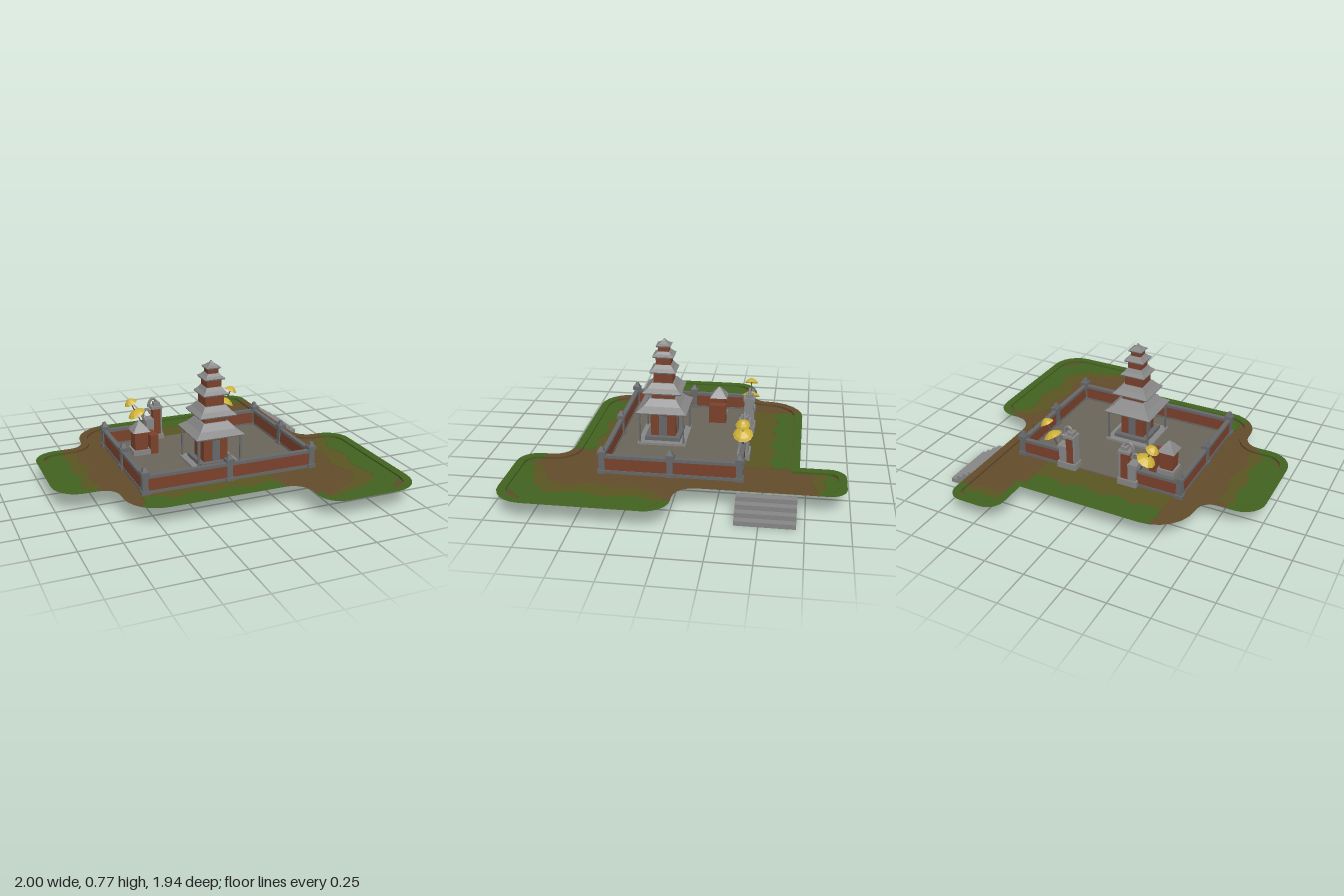
import * as THREE from 'three';

const mat = (name, color, side = THREE.FrontSide) => {
  const m = new THREE.MeshStandardMaterial({ color, side });
  m.name = name;
  return m;
};

export function createModel() {
  const root = new THREE.Group();
  root.name = 'templeIsland';
  const D = THREE.DoubleSide;
  const green = mat('grassGreen', 0x41621f, D);
  const olive = mat('dryGrassOlive', 0x595522, D);
  const brown = mat('earthBrown', 0x634b2b, D);
  const paving = mat('pavingGrey', 0x6a6559);
  const stone = mat('stoneGrey', 0x868686);
  const darkStone = mat('darkStone', 0x666769);
  const brick = mat('brickRed', 0x7a412b);
  const yellow = mat('parasolYellow', 0xcdb034, D);
  const wood = mat('poleWood', 0x5a5040);

  // ---- helpers ----
  const flat = (g) => {
    const f = g.index ? g.toNonIndexed() : g;
    f.computeVertexNormals();
    return f;
  };
  const add = (name, geo, m, x = 0, y = 0, z = 0, parent = root) => {
    const mesh = new THREE.Mesh(geo, m);
    mesh.name = name;
    mesh.position.set(x, y, z);
    parent.add(mesh);
    return mesh;
  };
  // box standing between y0 and y1
  const block = (name, m, x, z, w, d, y0, y1, parent = root) =>
    add(name, new THREE.BoxGeometry(w, y1 - y0, d), m, x, (y0 + y1) / 2, z, parent);
  // square frustum with half widths at its bottom and top
  const frustum = (name, m, x, z, a, b, y0, y1, parent = root) => {
    const g = new THREE.CylinderGeometry(b * Math.SQRT2, a * Math.SQRT2, y1 - y0, 4).rotateY(Math.PI / 4);
    return add(name, flat(g), m, x, (y0 + y1) / 2, z, parent);
  };

  // ---- island outline: right-angled corners [x, z, radius] ----
  const corners = [
    [0.36, -0.98, 0.1], [0.7, -0.98, 0.1], [0.7, -0.02, 0.12], [1, -0.02, 0.14], [1, 0.965, 0.18],
    [0.37, 0.965, 0.12], [0.37, 0.67, 0.11], [-0.66, 0.67, 0.2], [-0.66, 0.325, 0.1], [-1, 0.325, 0.16],
    [-1, -0.37, 0.14], [-0.66, -0.37, 0.09], [-0.66, -0.71, 0.24], [0.36, -0.71, 0],
  ].map(([x, z, r]) => ({ p: new THREE.Vector2(x, z), r }));
  const outline = [];
  corners.forEach((c, i) => {
    const prev = corners.at(i - 1), next = corners[(i + 1) % corners.length];
    const d1 = c.p.clone().sub(prev.p).normalize(), d2 = next.p.clone().sub(c.p).normalize();
    if (c.r === 0) outline.push(c.p.clone());
    else for (let k = 0; k <= 6; k++) {
      const t = (k / 6) * Math.PI / 2;
      outline.push(c.p.clone().addScaledVector(d1, c.r * (Math.sin(t) - 1))
        .addScaledVector(d2, c.r * (1 - Math.cos(t))));
    }
    const a = c.p.clone().addScaledVector(d2, c.r), b = next.p.clone().addScaledVector(d2, -next.r);
    const n = Math.ceil(a.distanceTo(b) / 0.06);
    for (let k = 1; k < n; k++) outline.push(a.clone().lerp(b, k / n));
  });
  const pts = outline.filter((p, i) => p.distanceTo(outline.at(i - 1)) > 1e-4);
  const inset = pts.map((p, i) => {
    const n1 = p.clone().sub(pts.at(i - 1)).normalize(), n2 = pts[(i + 1) % pts.length].clone().sub(p).normalize();
    const m = n1.clone().add(n2).normalize();
    const s = 0.05 / m.dot(n1);
    return new THREE.Vector2(p.x - m.y * s, p.y + m.x * s);
  });

  // raised rim and its inner riser, earth or grass by position
  const isEarth = (x, z) =>
    (x > 0.6 && x < 0.86 && z > -0.8 && z < 0.1) || (x < -0.46 && x > -0.78 && z < -0.25) ||
    (x < -0.56 && x > -0.78 && z > 0.2 && z < 0.62) || (x > 0.27 && x < 0.45 && z > 0.55 && z < 0.82);
  const TOP = 0.122, FLOOR = 0.108;
  const strip = (name, a, ya, b, yb) => {
    const g = new THREE.BufferGeometry(), v = [];
    a.forEach((p, i) => {
      const j = (i + 1) % a.length, q = a[j], r = b[i], s = b[j];
      g.addGroup(i * 6, 6, isEarth((p.x + q.x) / 2, (p.y + q.y) / 2) ? 1 : 0);
      v.push(p.x, ya, p.y, r.x, yb, r.y, q.x, ya, q.y, q.x, ya, q.y, r.x, yb, r.y, s.x, yb, s.y);
    });
    g.setAttribute('position', new THREE.Float32BufferAttribute(v, 3));
    g.computeVertexNormals();
    add(name, g, [green, brown]);
  };
  strip('islandRim', pts, TOP, inset, TOP);
  strip('rimRiser', inset, TOP, inset, FLOOR);

  // sunken ground and thin grass patches
  const toShape = (list) => new THREE.Shape(list.map(([x, z]) => new THREE.Vector2(x, -z)));
  add('ground', new THREE.ShapeGeometry(toShape(inset.map((p) => [p.x, p.y]))).rotateX(-Math.PI / 2), brown, 0, FLOOR, 0);
  const patch = (name, m, h, list) =>
    add(name, new THREE.ExtrudeGeometry(toShape(list), { depth: 2 * h, bevelEnabled: false }).rotateX(-Math.PI / 2), m, 0, FLOOR - h, 0);
  const dry = [
    [[-0.48, -0.655], [0.36, -0.655], [0.36, -0.38], [-0.48, -0.38]],
    [[0.41, -0.87], [0.47, -0.93], [0.59, -0.93], [0.65, -0.87], [0.65, -0.82], [0.53, -0.78], [0.41, -0.8]],
    [[-0.95, -0.23], [-0.88, -0.31], [-0.72, -0.32], [-0.75, -0.2], [-0.71, -0.05], [-0.76, 0.1], [-0.72, 0.27], [-0.86, 0.27], [-0.95, 0.17]],
    [[-0.55, 0.58], [-0.55, 0.44], [0.26, 0.44], [0.26, 0.62], [-0.46, 0.62]],
    [[0.8, 0.03], [0.86, 0.03], [0.95, 0.12], [0.95, 0.78], [0.82, 0.915], [0.5, 0.915], [0.43, 0.86], [0.55, 0.78], [0.68, 0.72], [0.74, 0.6], [0.68, 0.45], [0.73, 0.3], [0.7, 0.18]],
  ];
  const lush = [
    [[-0.48, -0.655], [0.36, -0.655], [0.36, -0.55], [0.25, -0.53], [0.15, -0.57], [0.05, -0.52], [-0.08, -0.56], [-0.2, -0.52], [-0.3, -0.56], [-0.4, -0.53], [-0.48, -0.55]],
    [[0.41, -0.87], [0.47, -0.93], [0.59, -0.93], [0.65, -0.87], [0.53, -0.85]],
    [[-0.95, -0.23], [-0.88, -0.31], [-0.84, -0.3], [-0.8, -0.2], [-0.83, -0.05], [-0.79, 0.08], [-0.83, 0.2], [-0.81, 0.27], [-0.86, 0.27], [-0.95, 0.17]],
    [[-0.55, 0.58], [-0.55, 0.47], [-0.45, 0.49], [-0.38, 0.55], [-0.25, 0.51], [-0.15, 0.57], [-0.02, 0.52], [0.08, 0.57], [0.2, 0.54], [0.26, 0.57], [0.26, 0.62], [-0.46, 0.62]],
    [[0.87, 0.04], [0.95, 0.12], [0.95, 0.78], [0.82, 0.915], [0.5, 0.915], [0.44, 0.87], [0.6, 0.83], [0.75, 0.78], [0.84, 0.68], [0.8, 0.5], [0.85, 0.35], [0.81, 0.2]],
  ];
  dry.forEach((l) => patch('dryGrassPatch', olive, 0.0015, l));
  lush.forEach((l) => patch('grassPatch', green, 0.003, l));

  // ---- landing stairs ----
  for (let i = 0; i < 4; i++) block('stairStep', stone, 0.721 + i * 0.0425, -0.535, 0.0425, 0.34, 0, 0.11 - i * 0.0275);

  // ---- courtyard and its wall ----
  const X0 = -0.52, X1 = 0.545, Z0 = -0.37, Z1 = 0.43, CX = 0.0125;
  block('courtyardPaving', paving, CX, 0.03, X1 - X0, Z1 - Z0, 0.103, 0.118);
  const wall = (x0, z0, x1, z1) => {
    const x = (x0 + x1) / 2, z = (z0 + z1) / 2, w = x1 - x0, d = z1 - z0;
    block('wallBase', darkStone, x, z, w + 0.028, d + 0.028, 0.106, 0.128);
    block('wallBrick', brick, x, z, w + 0.02, d + 0.02, 0.128, 0.203);
    block('wallCap', darkStone, x, z, w + 0.028, d + 0.028, 0.203, 0.222);
  };
  wall(X0, Z1, X1, Z1);
  wall(X0, Z0, X0, Z1);
  wall(X1, Z0, X1, Z1);
  wall(X0, Z0, -0.25, Z0);
  wall(0.275, Z0, X1, Z0);
  const posts = [[X0, Z0], [X0, 0.03], [X0, Z1], [0.003, Z1], [X1, Z1], [X1, 0.03], [X1, Z0]];
  for (const [x, z] of posts) {
    block('postBase', darkStone, x, z, 0.05, 0.05, 0.103, 0.13);
    block('postShaft', darkStone, x, z, 0.036, 0.036, 0.13, 0.225);
    block('postCap', darkStone, x, z, 0.05, 0.05, 0.225, 0.245);
    frustum('postFinial', darkStone, x, z, 0.017, 0.008, 0.245, 0.272);
  }

  // ---- split gate and parasols, mirrored about the gateway ----
  for (const s of [-1, 1]) {
    const side = new THREE.Group();
    side.name = s < 0 ? 'rightGateSide' : 'leftGateSide';
    side.position.set(CX, 0, Z0);
    root.add(side);
    block('gatePlinth', stone, s * 0.205, 0, 0.125, 0.076, 0.106, 0.15, side);
    block('gatePier', brick, s * 0.185, 0, 0.05, 0.055, 0.15, 0.325, side);
    block('gateInnerFace', stone, s * 0.155, 0, 0.01, 0.06, 0.15, 0.325, side);
    block('gateShoulder', stone, s * 0.233, 0, 0.05, 0.06, 0.15, 0.245, side);
    block('gateShoulderCap', stone, s * 0.238, 0, 0.06, 0.07, 0.245, 0.262, side);
    block('gateCap', stone, s * 0.185, 0, 0.075, 0.072, 0.325, 0.342, side);
    block('gateCrown', stone, s * 0.18, 0, 0.04, 0.045, 0.342, 0.365, side);
    // curling stone horns
    for (const [x, y, k] of [[0.19, 0.355, 1], [0.235, 0.29, 0.95]]) {
      const curve = new THREE.CatmullRomCurve3([[-0.015, 0], [0, 0.03], [0.022, 0.033], [0.04, 0.005], [0.042, -0.02]]
        .map(([u, v]) => new THREE.Vector3(s * (x + u * k), y + v * k, 0)));
      add('gateHorn', new THREE.TubeGeometry(curve, 10, 0.009, 6), stone, 0, 0, 0, side);
    }
    // leaning two-tier parasol
    const parasol = new THREE.Group();
    parasol.name = 'parasol';
    parasol.position.set(s * 0.225, 0.12, 0);
    parasol.rotation.z = -s * 0.46;
    side.add(parasol);
    add('parasolPole', new THREE.CylinderGeometry(0.004, 0.004, 0.31, 6), wood, 0, 0.155, 0, parasol);
    for (const [r, y] of [[0.06, 0.2], [0.043, 0.287]]) {
      const profile = [[r, 0], [r * 0.75, 0.014], [r * 0.4, 0.026], [0.001, 0.033]].map(([a, b]) => new THREE.Vector2(a, b));
      add('parasolCanopy', flat(new THREE.LatheGeometry(profile, 10)), yellow, 0, y, 0, parasol);
    }
  }

  // ---- tiered tower ----
  const TX = 0.005, TZ = 0.148;
  block('towerPlinth', stone, TX, TZ, 0.3, 0.3, 0.112, 0.132);
  block('towerPlinthStep', darkStone, TX, TZ, 0.22, 0.22, 0.132, 0.155);
  // [body half width, body base, eave height, eave half width, roof top, roof top half width]
  const tiers = [
    [0.078, 0.15, 0.33, 0.157, 0.4, 0.082], [0.072, 0.395, 0.448, 0.12, 0.5, 0.07],
    [0.06, 0.495, 0.572, 0.082, 0.612, 0.048], [0.046, 0.605, 0.666, 0.066, 0.693, 0.036],
    [0.033, 0.69, 0.73, 0.046, 0.75, 0.016],
  ];
  for (const [w, y0, y1, e, y2, t] of tiers) {
    block('towerBody', brick, TX, TZ, w * 2, w * 2, y0, y1);
    block('roofEave', darkStone, TX, TZ, e * 2 - 0.006, e * 2 - 0.006, y1 - 0.008, y1);
    const mid = (e + t) / 2 - (e - t) * 0.06, ym = (y1 + y2) / 2 - (y2 - y1) * 0.06;
    frustum('roofLower', stone, TX, TZ, e, mid, y1, ym);
    frustum('roofUpper', stone, TX, TZ, mid, t, ym, y2);
  }
  frustum('towerFinial', stone, TX, TZ, 0.014, 0.003, 0.75, 0.768);
  for (const i of [-1, 1]) {
    block('doorPanel', darkStone, TX + i * 0.079, TZ, 0.008, 0.05, 0.155, 0.285);
    block('doorPanel', darkStone, TX, TZ + i * 0.079, 0.05, 0.008, 0.155, 0.285);
    for (const j of [-1, 1]) block('eavePost', darkStone, TX + i * 0.136, TZ + j * 0.136, 0.01, 0.01, 0.13, 0.325);
  }

  // ---- small shrine with altar bench ----
  const SX = -0.355, SZ = -0.157;
  block('shrinePlinth', stone, SX, SZ, 0.11, 0.11, 0.112, 0.15);
  block('shrineBody', brick, SX, SZ, 0.085, 0.085, 0.15, 0.272);
  frustum('shrineRoof', stone, SX, SZ, 0.056, 0.026, 0.268, 0.307);
  frustum('shrineRoofTop', stone, SX, SZ, 0.026, 0.004, 0.307, 0.332);
  block('altarBench', brick, -0.273, SZ, 0.05, 0.11, 0.112, 0.24);
  return root;
}
